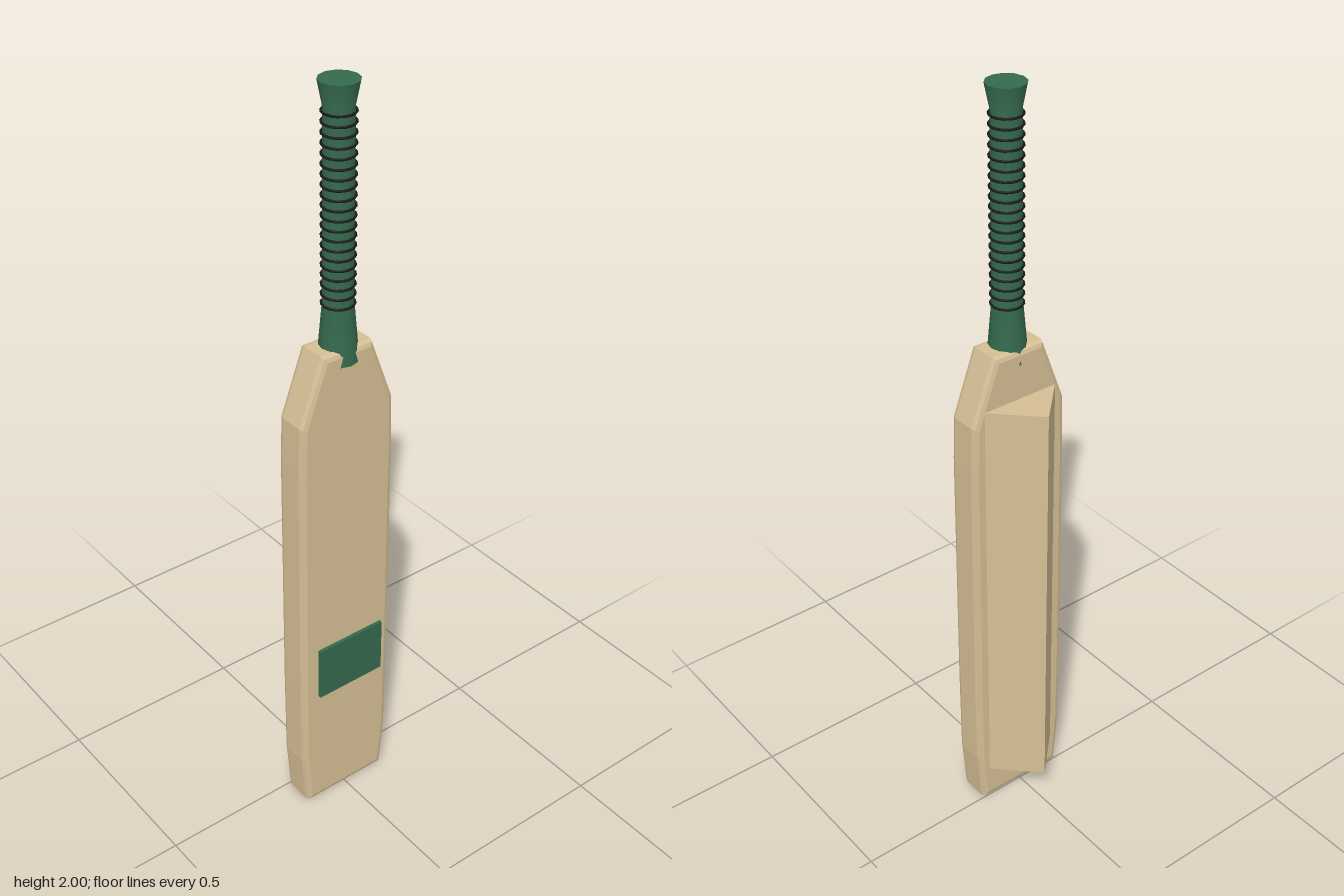
import * as THREE from 'three';

const wood = new THREE.MeshStandardMaterial({ color: 0xd6bf96, name: 'wood' });
const grip = new THREE.MeshStandardMaterial({ color: 0x356a4e, name: 'green grip' });
const cord = new THREE.MeshStandardMaterial({ color: 0x1a1a1a, name: 'black cord' });

const HANDLE_Z = 0.046;

function add(parent, name, geometry, material, x = 0, y = 0, z = 0) {
  const mesh = new THREE.Mesh(geometry, material);
  mesh.name = name;
  mesh.position.set(x, y, z);
  parent.add(mesh);
  return mesh;
}

// Mirrored outline from right-hand points listed bottom to top
function mirroredShape(points) {
  const right = points.map(([x, y]) => new THREE.Vector2(x, y));
  const left = points.map(([x, y]) => new THREE.Vector2(-x, y)).reverse();
  return new THREE.Shape([...right, ...left]);
}

export function createModel() {
  const bat = new THREE.Group();
  bat.name = 'bat';

  // Blade: shouldered slab with softened edges, z from -0.003 to 0.089
  const bevel = 0.014;
  const outline = mirroredShape([
    [0.125, 0], [0.138, 0.15], [0.14, 0.4], [0.139, 1.08], [0.135, 1.2], [0.072, 1.37],
  ]);
  const blade = new THREE.ExtrudeGeometry(outline, {
    depth: 0.092 - 2 * bevel, bevelEnabled: true, bevelSize: bevel,
    bevelThickness: bevel, bevelOffset: -bevel, bevelSegments: 2,
  });
  add(bat, 'blade', blade, wood, 0, 0, -0.003 + bevel);

  // Spine: triangular ridge along the back, extruded upwards
  const triangle = new THREE.Shape([
    new THREE.Vector2(-0.109, 0), new THREE.Vector2(0.109, 0), new THREE.Vector2(0, 0.109),
  ]);
  const spine = new THREE.ExtrudeGeometry(triangle, { depth: 1.14, bevelEnabled: false });
  spine.rotateX(-Math.PI / 2);
  add(bat, 'spine', spine, wood, 0, 0.1, 0);

  // Handle: flared at the shoulder and the butt, doubled corners keep the caps crisp
  const profile = [
    [0, 1.33], [0.05, 1.33], [0.05, 1.33], [0.037, 1.48], [0.036, 1.94],
    [0.048, 2], [0.048, 2], [0, 2],
  ].map(([r, y]) => new THREE.Vector2(r, y));
  add(bat, 'handle', new THREE.LatheGeometry(profile, 12), grip, 0, 0, HANDLE_Z);

  // Thin cord rings around the handle
  const rings = new THREE.Group();
  rings.name = 'gripRings';
  bat.add(rings);
  const ring = new THREE.TorusGeometry(0.039, 0.003, 6, 16).rotateX(Math.PI / 2);
  const count = 20;
  for (let i = 0; i < count; i++) {
    add(rings, 'gripRing', ring, cord, 0, 1.475 + (i * 0.455) / (count - 1), HANDLE_Z);
  }

  // Plain label plate in front of the blade
  add(bat, 'label', new THREE.BoxGeometry(0.2, 0.153, 0.009), grip, 0, 0.454, 0.104);

  return bat;
}
